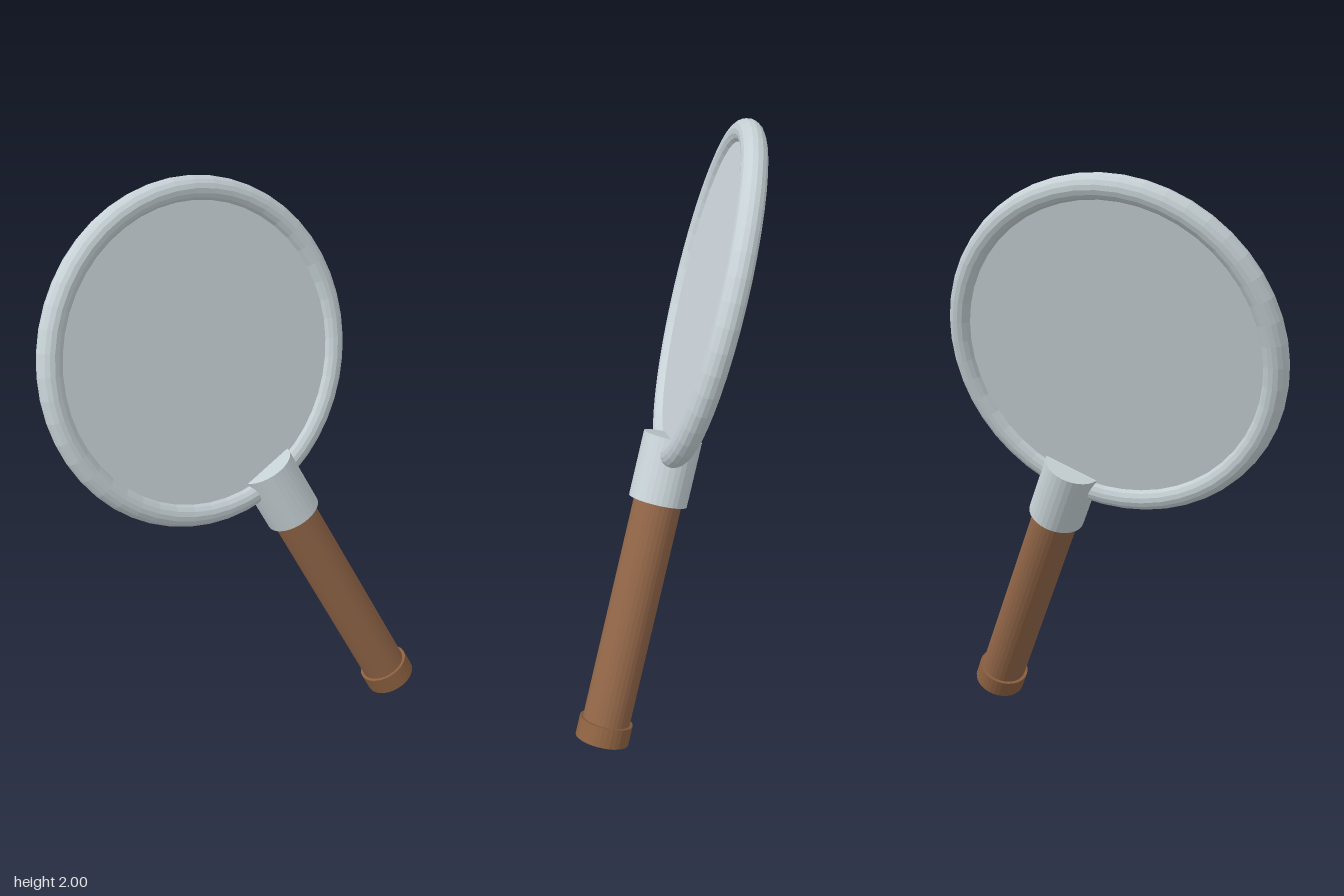
import * as THREE from 'three';

const mat = (name, color) => {
  const m = new THREE.MeshStandardMaterial({ color, flatShading: true });
  m.name = name;
  return m;
};

export function createModel() {
  const metal = mat('pale metal', 0xc6d1d5);
  const glass = mat('pale glass', 0xcad4d9);
  const wood = mat('brown wood', 0x8f6446);
  const endWood = mat('brown end cap', 0x8b6040);

  const model = new THREE.Group();
  model.name = 'magnifyingGlass';

  const add = (name, geometry, material) => {
    const mesh = new THREE.Mesh(geometry, material);
    mesh.name = name;
    model.add(mesh);
    return mesh;
  };

  // Cylinder along the handle axis, between two distances below the lens centre
  const rod = (name, radius, from, to, material) => {
    const g = new THREE.CylinderGeometry(radius, radius, to - from, 32);
    g.translate(0, -(from + to) / 2, 0);
    return add(name, g, material);
  };

  // Lens and its frame, facing local z
  add('frameRing', new THREE.TorusGeometry(0.547, 0.042, 16, 48), metal);
  add('lens', new THREE.CylinderGeometry(0.53, 0.53, 0.036, 48).rotateX(Math.PI / 2), glass);

  // Collar, grip and end cap, running down local -y
  rod('collar', 0.1, 0.488, 0.712, metal);
  rod('handle', 0.082, 0.7, 1.5, wood);
  rod('endCap', 0.093, 1.495, 1.564, endWood);

  // Lean the whole object: y along the handle, z along the lens normal
  const up = new THREE.Vector3(-0.2686, 0.887, 0.3754).normalize();
  const side = new THREE.Vector3().crossVectors(up, new THREE.Vector3(0.963, 0.25, 0.095)).normalize();
  const normal = new THREE.Vector3().crossVectors(side, up);
  model.quaternion.setFromRotationMatrix(new THREE.Matrix4().makeBasis(side, up, normal));
  model.position.set(-0.165, 1.43, 0.047);

  const root = new THREE.Group();
  root.add(model);
  return root;
}
